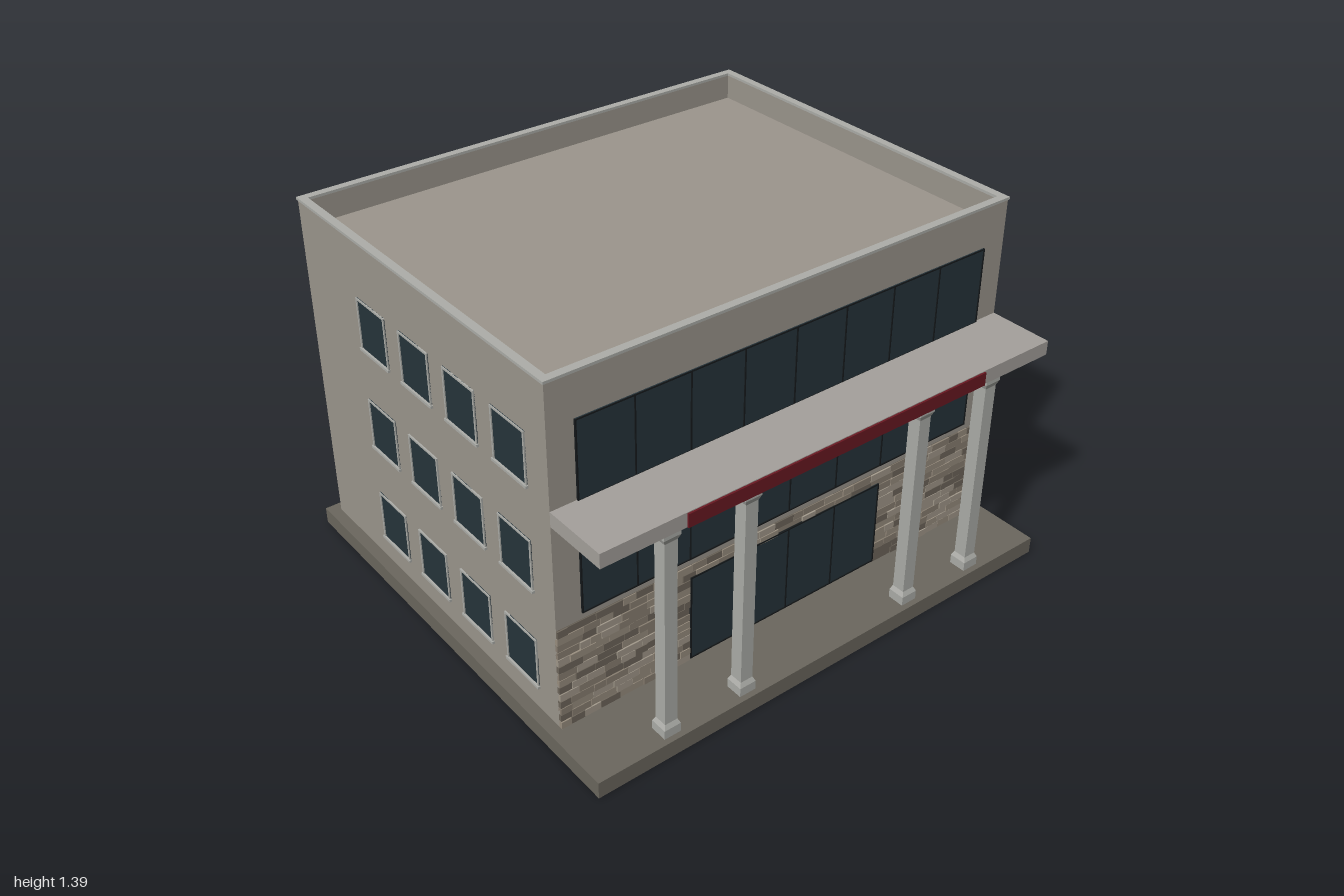
import * as THREE from 'three';
import { mergeGeometries } from 'three/addons/utils/BufferGeometryUtils.js';

const mat = (color) => new THREE.MeshStandardMaterial({ color });
const WALL = mat(0x9c968d), TRIM = mat(0xadaea9), GLASS = mat(0x26343b), DARK = mat(0x15191b);
const PLINTH = mat(0x6b675e), RED = mat(0x6a1822), CANOPY = mat(0xa5a19c);
const BRICKS = [0x8a8072, 0x9a8f80, 0x6f675c, 0xa39a8c].map(mat);

// Box geometry given by its limits on each axis
function span(x0, x1, y0, y1, z0, z1) {
  return new THREE.BoxGeometry(x1 - x0, y1 - y0, z1 - z0)
    .translate((x0 + x1) / 2, (y0 + y1) / 2, (z0 + z1) / 2);
}
function add(parent, name, geometry, material) {
  const mesh = new THREE.Mesh(geometry, material);
  mesh.name = name;
  parent.add(mesh);
  return mesh;
}
function group(parent, name) {
  const g = new THREE.Group();
  g.name = name;
  parent.add(g);
  return g;
}

// Rectangular ring lying flat, used for the parapet and its coping
function ring(x, zBack, zFront, thick, y0, y1) {
  return mergeGeometries([
    span(-x, x, y0, y1, zFront - thick, zFront),
    span(-x, x, y0, y1, zBack, zBack + thick),
    span(-x, -x + thick, y0, y1, zBack + thick, zFront - thick),
    span(x - thick, x, y0, y1, zBack + thick, zFront - thick),
  ]);
}

// Glazed strip on the front wall, divided by thin dark mullions
function glazing(parent, name, half, y0, y1, panes) {
  const g = group(parent, name);
  add(g, 'glass', span(-half, half, y0, y1, 0.62, 0.634), GLASS);
  const bars = [
    span(-half, half, y0, y0 + 0.005, 0.62, 0.637),
    span(-half, half, y1 - 0.005, y1, 0.62, 0.637),
  ];
  for (let i = 0; i <= panes; i++) {
    const x = -half + (2 * half * i) / panes;
    bars.push(span(x - 0.0025, x + 0.0025, y0, y1, 0.62, 0.637));
  }
  add(g, 'mullions', mergeGeometries(bars), DARK);
}

// Side window with frame and projecting sill, facing +x or -x
function sideWindow(parent, side, y0, y1, z) {
  const g = group(parent, 'sideWindow');
  const h = 0.092, f = 0.007;
  const box = (depth, a, b, c, d) => side > 0
    ? span(0.945, 0.955 + depth, a, b, c, d)
    : span(-0.955 - depth, -0.945, a, b, c, d);
  add(g, 'pane', box(0.002, y0, y1, z - h, z + h), GLASS);
  add(g, 'frame', mergeGeometries([
    box(0.006, y1 - f, y1, z - h, z + h),
    box(0.006, y0, y1 - f, z - h, z - h + f),
    box(0.006, y0, y1 - f, z + h - f, z + h),
  ]), TRIM);
  add(g, 'sill', box(0.01, y0 - 0.004, y0 + 0.006, z - h - 0.004, z + h + 0.004), TRIM);
}

// Square column with flared foot and head
function column(parent, x) {
  const profile = [[0.033, 0.06], [0.033, 0.1], [0.025, 0.118], [0.025, 0.845], [0.033, 0.865], [0.033, 0.885]];
  const geo = new THREE.LatheGeometry(
    profile.map(([r, y]) => new THREE.Vector2(r * Math.SQRT2, y)), 4, Math.PI / 4).toNonIndexed();
  geo.computeVertexNormals();
  add(parent, 'column', geo, TRIM).position.set(x, 0, 0.845);
}

// Coursed stone cladding around the entrance
function cladding(parent) {
  const g = group(parent, 'stoneCladding');
  let seed = 7;
  const rand = () => (seed = (seed * 16807) % 2147483647) / 2147483647;
  const lists = BRICKS.map(() => []);
  const rows = 14, base = 0.065, rowH = 0.41 / rows;
  for (let r = 0; r < rows; r++) {
    const y = base + r * rowH;
    const runs = y + rowH / 2 > 0.425 ? [[-0.955, 0.955]] : [[-0.955, -0.425], [0.425, 0.955]];
    for (const [start, end] of runs) {
      let x = start;
      while (x < end - 0.001) {
        let next = Math.min(end, x + 0.04 + rand() * 0.07);
        if (end - next < 0.025) next = end;
        const front = 0.633 + rand() * 0.005;
        lists[Math.floor(rand() * 4)].push(span(x, next - 0.002, y, y + rowH - 0.002, 0.622, front));
        x = next;
      }
    }
  }
  lists.forEach((list, i) => add(g, 'stones', mergeGeometries(list), BRICKS[i]));
  add(g, 'mortar', span(-0.954, 0.954, base, 0.474, 0.62, 0.631), BRICKS[2]);
}

export function createModel() {
  const model = new THREE.Group();
  model.name = 'officeBuilding';

  // Ground slab and main block
  add(model, 'plinth', span(-1, 1, 0, 0.065, -0.9, 0.9), PLINTH);
  add(model, 'walls', span(-0.955, 0.955, 0.065, 1.285, -0.86, 0.63), WALL);
  add(model, 'parapet', ring(0.955, -0.86, 0.63, 0.024, 1.285, 1.38), WALL);
  add(model, 'coping', ring(0.959, -0.864, 0.634, 0.03, 1.38, 1.39), TRIM);

  // Front facade
  cladding(model);
  glazing(model, 'upperGlazing', 0.855, 0.93, 1.225, 8);
  glazing(model, 'middleGlazing', 0.855, 0.5, 0.82, 8);
  const entrance = group(model, 'entrance');
  glazing(entrance, 'doors', 0.425, 0.075, 0.425, 4);
  entrance.position.z = 0.003;

  // Canopy with fascia panel on four columns
  add(model, 'canopy', span(-0.955, 0.955, 0.88, 0.935, 0.625, 0.88), CANOPY);
  add(model, 'fasciaPanel', span(-0.637, 0.637, 0.881, 0.932, 0.875, 0.887), RED);
  const columns = group(model, 'columns');
  for (const x of [-0.69, -0.375, 0.375, 0.69]) column(columns, x);

  // Three floors of windows on both sides
  const windows = group(model, 'sideWindows');
  for (const side of [-1, 1])
    for (const y of [0.16, 0.56, 0.963])
      for (const z of [0.425, 0.15, -0.125, -0.4]) sideWindow(windows, side, y, y + 0.2, z);

  return model;
}
